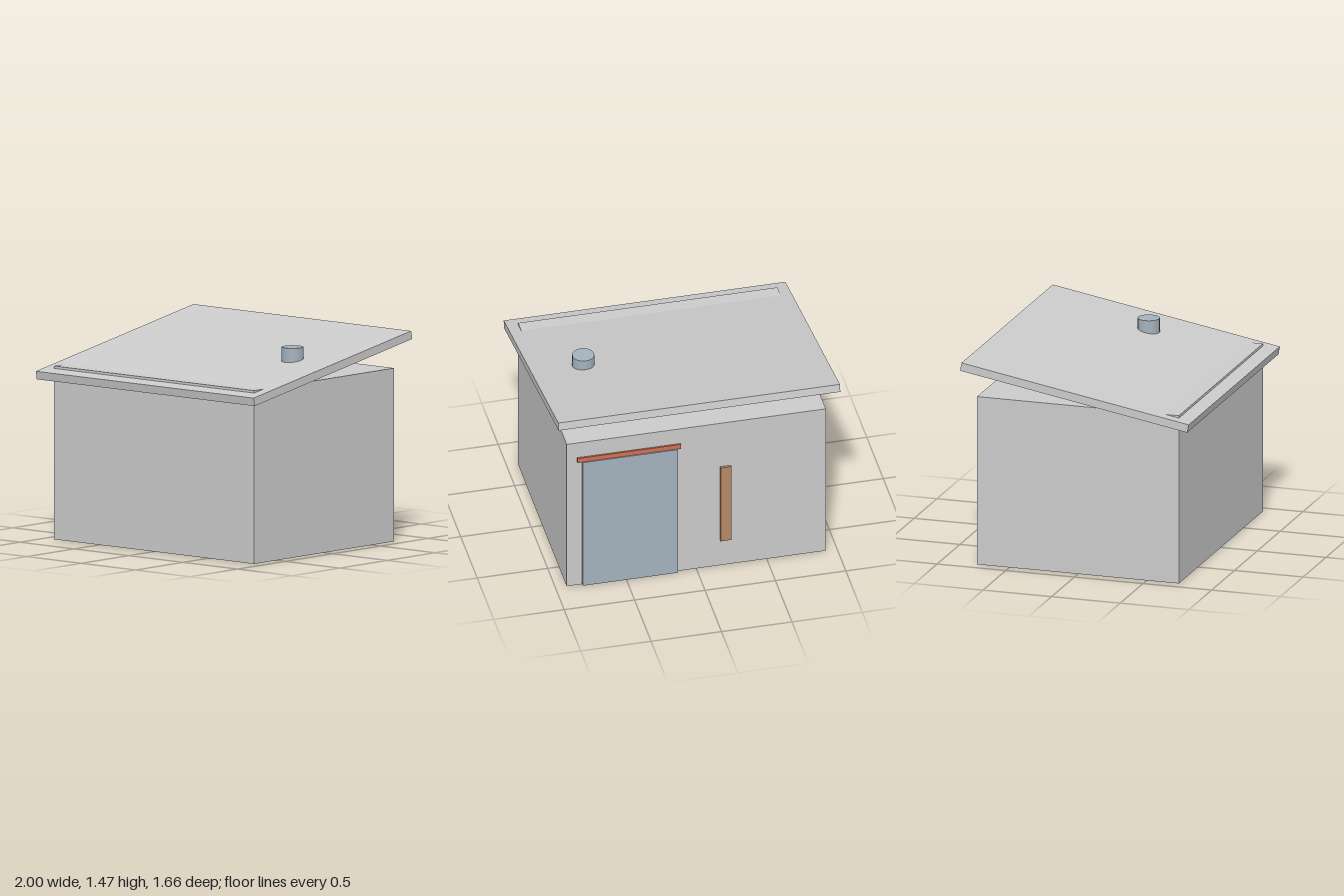
import * as THREE from 'three';

export function createModel() {
  const hut = new THREE.Group();
  hut.name = 'hut';

  const material = (color) => new THREE.MeshStandardMaterial({ color });
  const grey = material(0xcccccc);
  const metal = material(0xa5b3be);
  const wood = material(0xb88a68);
  const lintelRed = material(0xd07254);

  const add = (name, geometry, mat, x, y, z) => {
    const mesh = new THREE.Mesh(geometry, mat);
    mesh.name = name;
    mesh.position.set(x, y, z);
    hut.add(mesh);
    return mesh;
  };

  // Box given by its lower and upper corners
  const block = (name, mat, [x0, y0, z0], [x1, y1, z1]) =>
    add(name, new THREE.BoxGeometry(x1 - x0, y1 - y0, z1 - z0), mat,
      (x0 + x1) / 2, (y0 + y1) / 2, (z0 + z1) / 2);

  // Main room; its front top edge pokes through the low side of the roof
  block('walls', grey, [-0.92, 0, -0.735], [0.92, 1.21, 0.735]);

  // Single-pitch roof slab, sloping down to the front
  const roof = add('roof', new THREE.BoxGeometry(2, 0.058, 1.68), grey, 0, 1.293, 0);
  roof.rotation.x = THREE.MathUtils.degToRad(10);

  // Round roof vent
  add('roofVent', new THREE.CylinderGeometry(0.077, 0.077, 0.11, 20), metal, 0.63, 1.355, 0);

  // Door, lintel and narrow window slat on the back wall
  block('door', metal, [0.135, 0, -0.755], [0.81, 1.05, -0.725]);
  block('lintel', lintelRed, [0.11, 1.047, -0.747], [0.845, 1.085, -0.725]);
  block('windowSlat', wood, [-0.246, 0.215, -0.752], [-0.17, 0.84, -0.725]);

  return hut;
}
